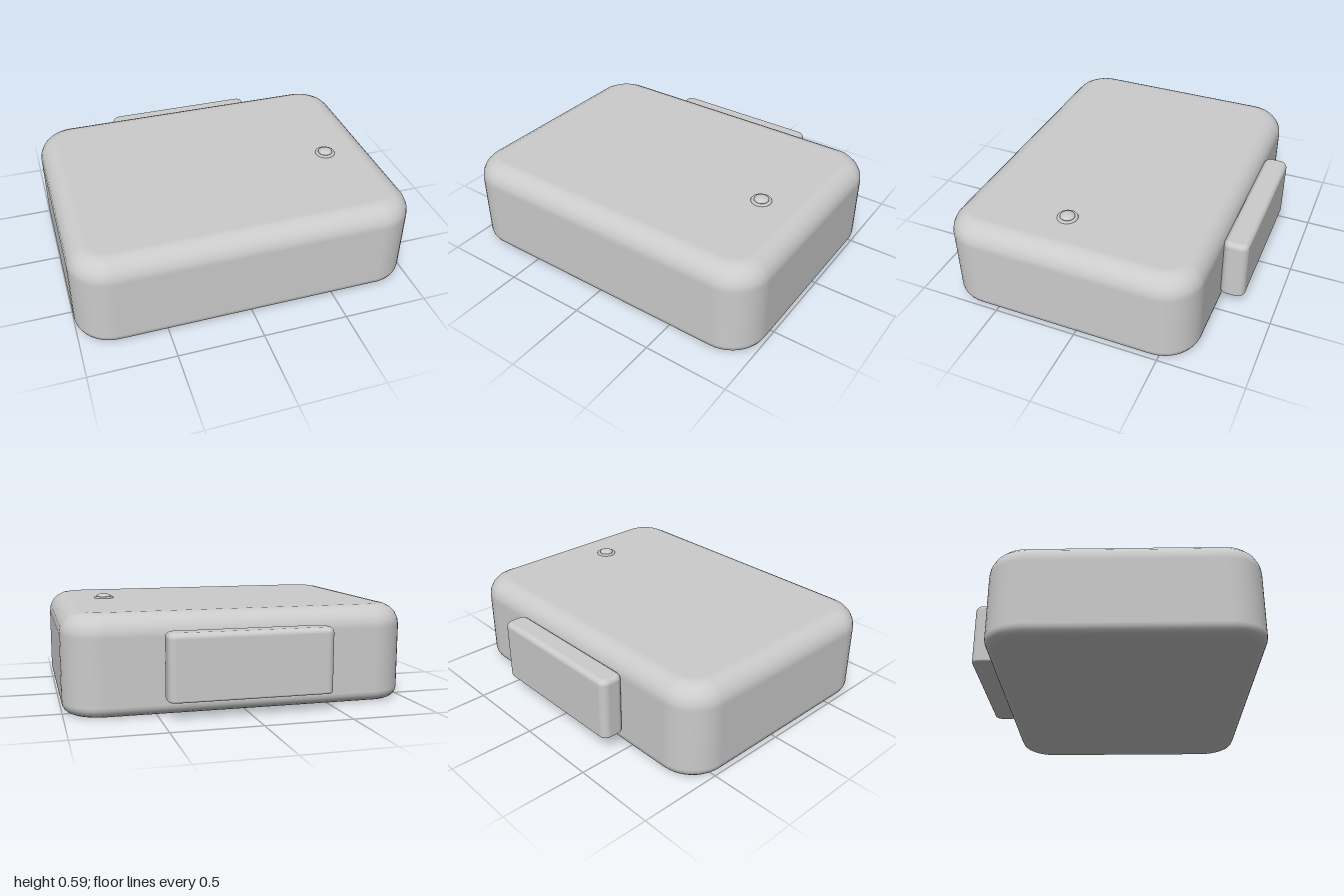
import * as THREE from 'three';

const material = new THREE.MeshStandardMaterial({ color: 0xcccccc });

// Slab with rounded plan corners and separately rounded top and bottom edges.
function roundedSlab(width, height, depth, corner, topEdge, bottomEdge, cornerSteps, edgeSteps) {
  const positions = [], normals = [], indices = [];
  const count = 4 * (cornerSteps + 1);
  const rings = [];
  for (const [edge, from, centreY] of [[bottomEdge, -Math.PI / 2, bottomEdge], [topEdge, 0, height - topEdge]]) {
    for (let i = 0; i <= edgeSteps; i++) {
      const a = from + (i / edgeSteps) * Math.PI / 2;
      rings.push({ a, inset: edge * (1 - Math.cos(a)), y: centreY + edge * Math.sin(a) });
    }
  }
  for (const { a, inset, y } of rings) {
    for (let q = 0; q < 4; q++) {
      const sx = q === 0 || q === 3 ? 1 : -1, sz = q < 2 ? 1 : -1;
      for (let i = 0; i <= cornerSteps; i++) {
        const t = (q + i / cornerSteps) * Math.PI / 2;
        const c = Math.cos(t), s = Math.sin(t);
        positions.push(sx * (width / 2 - corner) + (corner - inset) * c, y,
          sz * (depth / 2 - corner) + (corner - inset) * s);
        normals.push(c * Math.cos(a), Math.sin(a), s * Math.cos(a));
      }
    }
  }
  for (let r = 0; r < rings.length - 1; r++) {
    for (let i = 0; i < count; i++) {
      const j = (i + 1) % count, b = r * count, t = b + count;
      indices.push(b + i, t + i, b + j, b + j, t + i, t + j);
    }
  }
  // Flat caps
  const last = (rings.length - 1) * count, centre = rings.length * count;
  positions.push(0, 0, 0, 0, height, 0);
  normals.push(0, -1, 0, 0, 1, 0);
  for (let i = 0; i < count; i++) {
    const j = (i + 1) % count;
    indices.push(centre, i, j, centre + 1, last + j, last + i);
  }
  const geometry = new THREE.BufferGeometry();
  geometry.setAttribute('position', new THREE.Float32BufferAttribute(positions, 3));
  geometry.setAttribute('normal', new THREE.Float32BufferAttribute(normals, 3));
  geometry.setIndex(indices);
  return geometry;
}

// Surface of revolution from [radius, height] pairs.
function lathe(points) {
  return new THREE.LatheGeometry(points.map(([r, y]) => new THREE.Vector2(r, y)), 32);
}

export function createModel() {
  const group = new THREE.Group();
  const add = (name, geometry, x, y, z, parent = group) => {
    const mesh = new THREE.Mesh(geometry, material);
    mesh.name = name;
    mesh.position.set(x, y, z);
    parent.add(mesh);
  };

  // Case
  add('body', roundedSlab(2, 0.56, 1.5, 0.22, 0.125, 0.06, 10, 5), 0, 0, 0.07);

  // Clip block on the back
  add('backBlock', roundedSlab(0.935, 0.372, 0.146, 0.045, 0.032, 0.012, 6, 4), -0.003, 0.098, -0.747);

  // Small button with a raised collar and a domed cap
  const button = new THREE.Group();
  button.name = 'button';
  button.position.set(0.685, 0.56, 0.16);
  add('buttonCollar', lathe([[0.06, -0.01], [0.06, 0.004], [0.057, 0.009], [0.05, 0.011], [0.043, 0.009], [0.04, 0]]), 0, 0, 0, button);
  const dome = [[0.042, -0.01], [0.042, 0.012]];
  for (let i = 1; i <= 8; i++) {
    const a = (i / 8) * Math.PI / 2;
    dome.push([i === 8 ? 0 : 0.042 * Math.cos(a), 0.012 + 0.016 * Math.sin(a)]);
  }
  add('buttonCap', lathe(dome), 0, 0, 0, button);
  group.add(button);

  return group;
}
